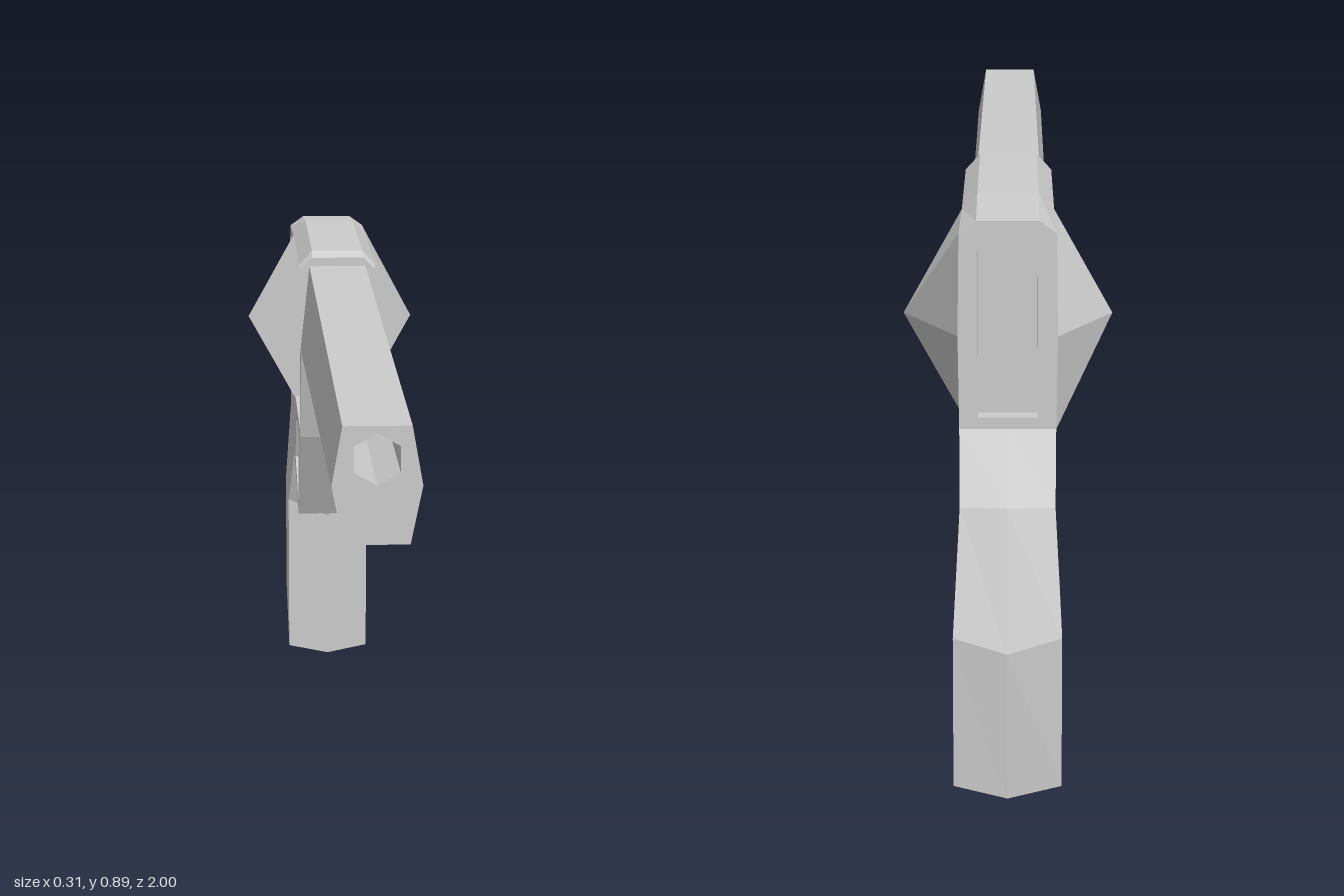
import * as THREE from 'three';

const mat = new THREE.MeshStandardMaterial({ color: 0xcccccc, flatShading: true });
const inside = new THREE.MeshStandardMaterial({ color: 0xcccccc, flatShading: true, side: THREE.BackSide });

// Completes a right-hand half profile with its mirror image
const mirror = half => [
  ...half,
  ...half.filter(p => p[0] > 0).reverse().map(([x, ...rest]) => [-x, ...rest]),
];

// Skins a row of mirrored half sections ([x, y, z] points)
function loft(halves, capStart = true, capEnd = true) {
  const rings = halves.map(mirror);
  const n = rings[0].length;
  const pos = [];
  const tri = (a, b, c) => pos.push(...a, ...b, ...c);
  for (let s = 0; s < rings.length - 1; s++) {
    const a = rings[s], b = rings[s + 1];
    for (let i = 0; i < n; i++) {
      const j = (i + 1) % n;
      tri(a[i], b[i], b[j]);
      tri(a[i], b[j], a[j]);
    }
  }
  const first = rings[0], last = rings[rings.length - 1];
  for (let i = 1; i < n - 1; i++) {
    if (capStart) tri(first[0], first[i], first[i + 1]);
    if (capEnd) tri(last[0], last[i + 1], last[i]);
  }
  const g = new THREE.BufferGeometry();
  g.setAttribute('position', new THREE.Float32BufferAttribute(pos, 3));
  g.computeVertexNormals();
  return g;
}

const atZ = (z, half) => half.map(([x, y]) => [x, y, z]);
const toVec = pts => pts.map(([x, y]) => new THREE.Vector2(x, y));

// Flat symmetric end face with a hole
function plate(half, hole, z, facesBack) {
  const shape = new THREE.Shape(toVec(mirror(half)));
  shape.holes.push(new THREE.Path(toVec(hole)));
  const g = new THREE.ShapeGeometry(shape);
  if (facesBack) g.rotateY(Math.PI);
  return g.translate(0, 0, z);
}

export function createModel() {
  const model = new THREE.Group();
  const add = (name, geometry, material = mat, parent = model) => {
    const m = new THREE.Mesh(geometry, material);
    m.name = name;
    parent.add(m);
    return m;
  };

  // Tapered barrel, flaring down into the frame at its rear
  const barrel = new THREE.Group();
  barrel.name = 'barrel';
  model.add(barrel);
  const muzzle = [[0.046, 0.69], [0.063, 0.773], [0.048, 0.857]];
  const breech = [[0.068, 0.555], [0.067, 0.71], [0.05, 0.867]];
  add('barrelBody', loft([
    atZ(1, muzzle),
    atZ(-0.265, [[0.047, 0.64], [0.066, 0.715], [0.05, 0.866]]),
    atZ(-0.29, breech),
  ], false, false), mat, barrel);

  // Six-sided bore through the barrel
  const boreY = 0.81, boreR = 0.037;
  const hex = Array.from({ length: 6 }, (_, i) => {
    const a = Math.PI / 6 + i * Math.PI / 3;
    return [boreR * Math.cos(a), boreY + boreR * Math.sin(a)];
  });
  add('muzzleFace', plate(muzzle, hex, 1, false), mat, barrel);
  add('breechFace', plate(breech, hex, -0.29, true), mat, barrel);
  add('bore', new THREE.CylinderGeometry(boreR, boreR, 1.29, 6, 1, true)
    .rotateX(Math.PI / 2).translate(0, boreY, 0.355), inside, barrel);

  // Strap over the cylinder opening
  add('topStrap', loft([
    atZ(-0.288, [[0.066, 0.862], [0.046, 0.882]]),
    atZ(-0.3, [[0.068, 0.868], [0.045, 0.893]]),
    atZ(-0.655, [[0.068, 0.868], [0.045, 0.893]]),
  ]));

  // Rear frame, narrowing from a wide hexagonal shield
  const rear = [[0.07, 0.575], [0.072, 0.712], [0.07, 0.862], [0.045, 0.88]];
  add('rearFrame', loft([
    atZ(-0.655, [[0.068, 0.555], [0.155, 0.712], [0.068, 0.868], [0.045, 0.893]]),
    atZ(-0.817, rear),
  ], true, false));

  // Shallow hammer slot in the back of the frame
  const sx = 0.043, s0 = 0.592, s1 = 0.863, depth = 0.03;
  add('rearFace', plate(rear, [[-sx, s0], [sx, s0], [sx, s1], [-sx, s1]], -0.817, true));
  add('hammerSlot', new THREE.BoxGeometry(2 * sx, s1 - s0, depth)
    .translate(0, (s0 + s1) / 2, -0.817 + depth / 2), inside);

  // Lower frame and trigger guard, drawn in side profile (z, y)
  const side = new THREE.Shape(toVec([
    [-0.29, 0.555], [-0.655, 0.555], [-0.735, 0.425], [-0.46, 0.37], [-0.37, 0.543],
  ]));
  side.holes.push(new THREE.Path(toVec([
    [-0.425, 0.535], [-0.485, 0.39], [-0.655, 0.435], [-0.622, 0.515], [-0.53, 0.544],
  ])));
  const w = 0.066;
  add('lowerFrameAndTriggerGuard',
    new THREE.ExtrudeGeometry(side, { depth: 2 * w, bevelEnabled: false })
      .rotateY(-Math.PI / 2).translate(w, 0, 0));

  // Curved grip: each section runs front centre, front side, back side, back centre
  add('grip', loft([
    [[0, 0.555, -0.655], [0.068, 0.555, -0.655], [0.07, 0.575, -0.817], [0, 0.575, -0.817]],
    [[0, 0.425, -0.735], [0.066, 0.425, -0.735], [0.068, 0.485, -0.915], [0, 0.487, -0.925]],
    [[0, 0.287, -0.775], [0.077, 0.32, -0.775], [0.077, 0.315, -0.988], [0, 0.295, -1]],
    [[0, 0.002, -0.775], [0.077, 0.018, -0.775], [0.077, 0.092, -0.982], [0, 0.076, -0.99]],
  ]));

  return model;
}
